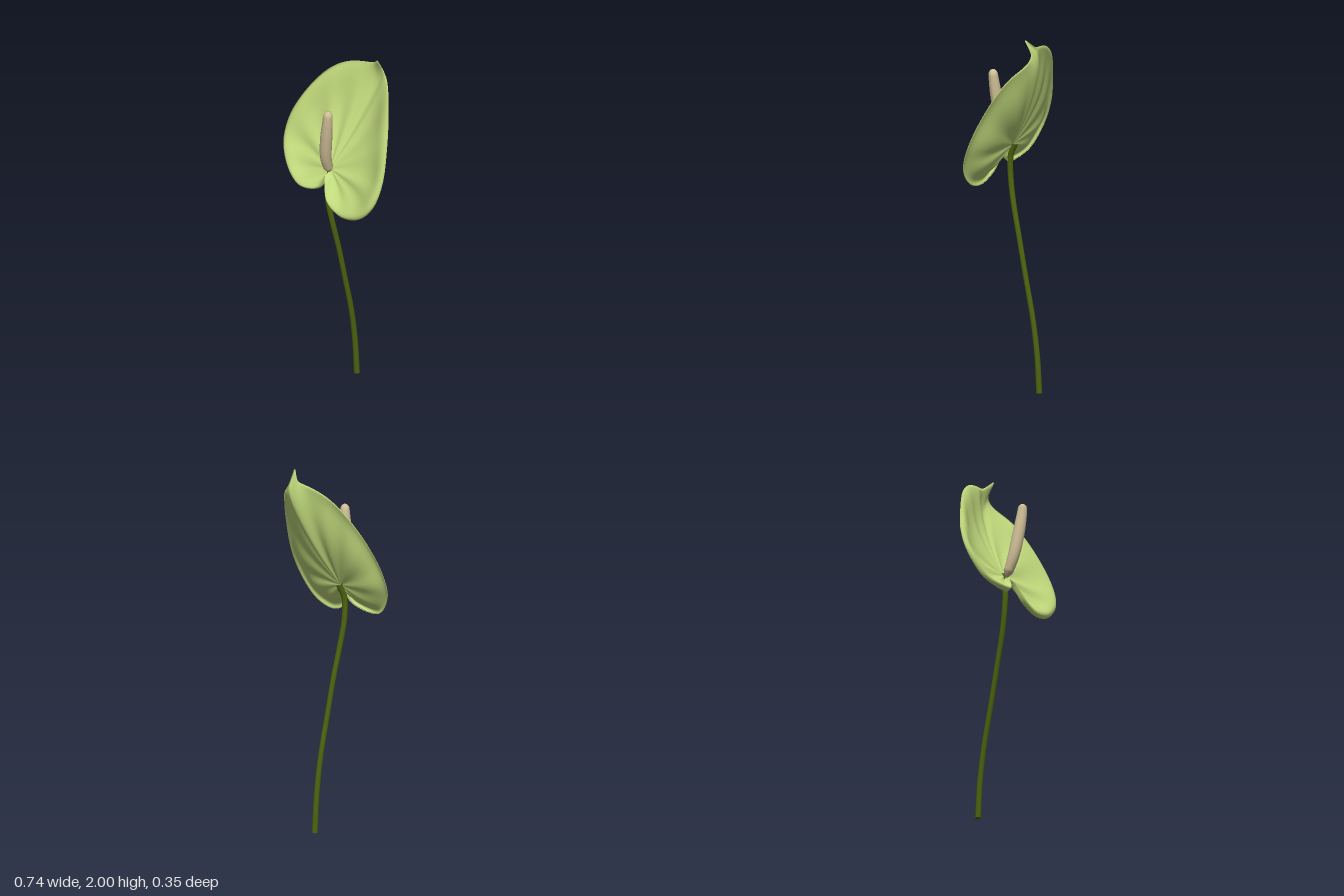
import * as THREE from 'three';

const V = (p) => new THREE.Vector3(...p);
const curveOf = (pts) => new THREE.CatmullRomCurve3(pts.map(V), false, 'centripetal');

// Tube along a curve whose radius varies with t (0..1)
function taperedTube(curve, n, sides, radiusAt) {
  const geo = new THREE.TubeGeometry(curve, n, 1, sides, false);
  const pos = geo.attributes.position, v = new THREE.Vector3();
  for (let i = 0; i <= n; i++) {
    const c = curve.getPointAt(i / n), r = radiusAt(i / n);
    for (let j = 0; j <= sides; j++) {
      const k = i * (sides + 1) + j;
      v.fromBufferAttribute(pos, k).sub(c).multiplyScalar(r).add(c);
      pos.setXYZ(k, v.x, v.y, v.z);
    }
  }
  return geo;
}

// Heart-shaped sheet: curved rays from the stalk joint to the rim, front and back
function spatheGeometry() {
  const centre = V([-0.03, 1.345, 0.07]);
  const rim = curveOf([
    [-0.03, 1.31, 0.09], [-0.055, 1.235, 0.13], [-0.17, 1.205, 0.155], [-0.28, 1.245, 0.135],
    [-0.362, 1.37, 0.1], [-0.365, 1.5, 0.06], [-0.305, 1.66, 0.008], [-0.2, 1.82, -0.06],
    [-0.1, 1.9, -0.1], [0.02, 1.94, -0.138], [0.1, 1.945, -0.165], [0.15, 1.89, -0.16],
    [0.245, 1.79, -0.082], [0.325, 1.62, 0.005], [0.368, 1.42, 0.085],
    [0.339, 1.28, 0.13], [0.247, 1.18, 0.148], [0.135, 1.148, 0.158], [0.035, 1.19, 0.152],
    [-0.01, 1.28, 0.12], [-0.03, 1.31, 0.09],
  ]);
  const n = 20 * 12, m = 32, row = 2 * m + 1;
  const pos = [], idx = [];
  for (let i = 0; i <= n; i++) {
    const u = i / n, edge = rim.getPoint(u), d = u - 0.5;
    const upper = Math.sin(Math.PI * u) ** 2;
    const spike = Math.exp(-((d / 0.014) ** 2));
    // margin rolls back on the lobes and bulges behind the tip
    const roll = 0.01 + 0.016 * (1 - upper) - 0.032 * Math.exp(-((d / 0.05) ** 2));
    for (let j = 0; j < row; j++) {
      const t = 1 - Math.abs(j - m) / m, back = j > m;
      const p = centre.clone().lerp(edge, t), arch = Math.sin(Math.PI * t);
      // rays bow outwards, the middle is cupped, veins make pleats
      p.x += 0.04 * Math.sin(2 * Math.PI * d) * arch;
      p.z -= arch * (0.003 + 0.036 * upper);
      p.z -= 0.007 * arch * (0.25 + 0.75 * upper) * Math.cos(2 * Math.PI * 11 * d);
      p.z += roll * (Math.sin(Math.PI * t ** 4) - 0.3 * t ** 8);
      // pointed tip
      const pull = spike * t ** 14;
      p.x += 0.025 * pull;
      p.y += 0.055 * pull;
      p.z += 0.038 * pull;
      // rounded rim
      p.z += (back ? -1 : 1) * 0.006 * Math.sqrt(1 - t ** 6);
      pos.push(p.x, p.y, p.z);
      if (i < n && j < row - 1) {
        const a = i * row + j, b = a + row;
        idx.push(a, b, a + 1, b, b + 1, a + 1);
      }
    }
  }
  const geo = new THREE.BufferGeometry();
  geo.setAttribute('position', new THREE.Float32BufferAttribute(pos, 3));
  geo.setIndex(idx);
  geo.computeVertexNormals();
  return geo;
}

export function createModel() {
  const group = new THREE.Group();
  const material = (name, color, side = THREE.FrontSide) => {
    const m = new THREE.MeshStandardMaterial({ color, side });
    m.name = name;
    return m;
  };
  const leafGreen = material('pale green', 0xc1da7c, THREE.DoubleSide);
  const stemGreen = material('dark green', 0x4d650f);
  const tan = material('tan', 0xcfbf96);
  const add = (name, geo, mat) => {
    const mesh = new THREE.Mesh(geo, mat);
    mesh.name = name;
    group.add(mesh);
    return mesh;
  };

  // Stem with a closed foot
  const stem = curveOf([
    [-0.02, 0, -0.11], [-0.02, 0.2, -0.097], [-0.019, 0.4, -0.07], [-0.02, 0.63, -0.022],
    [-0.023, 0.84, 0.022], [-0.03, 1.02, 0.063], [-0.037, 1.15, 0.085],
    [-0.036, 1.27, 0.086], [-0.03, 1.355, 0.055],
  ]);
  add('stem', taperedTube(stem, 70, 14, (t) => 0.016 - 0.002 * Math.sin(Math.PI * t) + (t > 0.97 ? 0.003 : 0)), stemGreen);
  const foot = add('stemFoot', new THREE.CircleGeometry(0.016, 14), stemGreen);
  foot.rotation.x = Math.PI / 2;
  foot.position.set(-0.02, 0.001, -0.11);

  // Spadix, rounded at both ends
  const spadix = curveOf([
    [-0.025, 1.335, 0.085], [-0.014, 1.44, 0.122], [0.008, 1.58, 0.141], [0.024, 1.68, 0.148], [0.034, 1.762, 0.152],
  ]);
  const spadixRadius = (t) => {
    const top = 1 - Math.min(1, (1 - t) * 14);
    return (0.024 + 0.009 * Math.sin(Math.PI * t) - 0.001 * t) * Math.sqrt(Math.min(1, t * 12) * (1 - top * top));
  };
  add('spadix', taperedTube(spadix, 60, 20, spadixRadius), tan).geometry.computeVertexNormals();

  // Spathe
  add('spathe', spatheGeometry(), leafGreen);

  return group;
}
